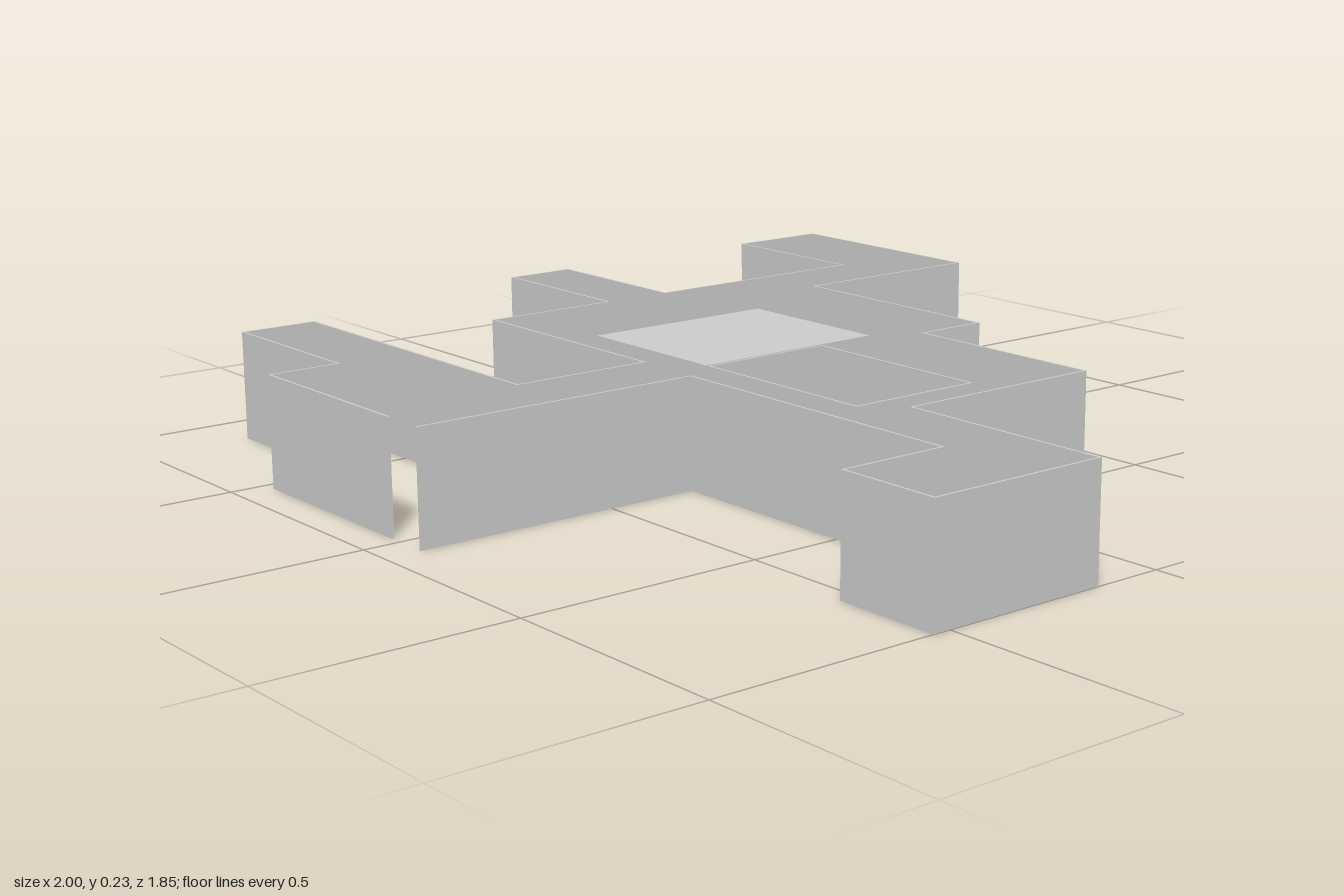
import * as THREE from 'three';

const OUTER_H = 0.23, INNER_H = 0.2, DOOR_H = 0.155, T = 0.005;
const material = new THREE.MeshStandardMaterial({ color: 0xcccccc, flatShading: true });

// Thin upright wall between two plan points [x, z]; door = [start, end] distance along the wall
function wall(name, a, b, height, door) {
  const dx = b[0] - a[0], dz = b[1] - a[1];
  const len = Math.hypot(dx, dz), e = T / 2;
  const s = new THREE.Shape();
  s.moveTo(-e, 0);
  if (door) {
    s.lineTo(door[0], 0);
    s.lineTo(door[0], DOOR_H);
    s.lineTo(door[1], DOOR_H);
    s.lineTo(door[1], 0);
  }
  s.lineTo(len + e, 0);
  s.lineTo(len + e, height);
  s.lineTo(-e, height);
  const geo = new THREE.ExtrudeGeometry(s, { depth: T, bevelEnabled: false });
  geo.translate(0, 0, -e);
  const mesh = new THREE.Mesh(geo, material);
  mesh.name = name;
  mesh.position.set(a[0], 0, a[1]);
  mesh.rotation.y = Math.atan2(-dz, dx);
  return mesh;
}

// Run of walls through plan points; doors are keyed by segment index
function wallRun(name, points, height, doors = {}) {
  const run = new THREE.Group();
  run.name = name;
  for (let i = 0; i < points.length - 1; i++) {
    run.add(wall(doors[i] ? 'doorWall' : 'wall', points[i], points[i + 1], height, doors[i]));
  }
  return run;
}

export function createModel() {
  const model = new THREE.Group();
  model.name = 'walledBuilding';

  // Outer wall, from one side of the front gap round to the other
  model.add(wallRun('outerWalls', [
    [-0.03, 0.922], [-0.465, 0.922], [-0.465, 0.77], [-0.853, 0.77], [-0.853, 0.603],
    [-0.085, 0.603], [-0.085, 0.3], [-0.62, 0.3], [-0.62, -0.003], [-0.997, -0.003],
    [-0.997, -0.16], [-0.62, -0.16], [-0.62, -0.695], [-0.997, -0.695], [-0.997, -0.925],
    [-0.463, -0.925], [-0.463, -0.47], [0.07, -0.47], [0.07, -0.31], [0.53, -0.31],
    [0.53, 0.15], [0.997, 0.15], [0.997, 0.535], [0.775, 0.535], [0.775, 0.305],
    [0.07, 0.305], [0.07, 0.922],
  ], OUTER_H, { 5: [0.185, 0.26], 9: [0.04, 0.115] }));

  // Closed central block
  const block = new THREE.Mesh(new THREE.BoxGeometry(0.375, INNER_H, 0.445), material);
  block.name = 'centralBlock';
  block.position.set(-0.2725, INNER_H / 2, -0.0775);
  model.add(block);

  // Open inner room with a door to the front
  model.add(wallRun('innerRoom', [
    [-0.077, 0.143], [0.37, 0.143], [0.37, -0.158], [-0.077, -0.158], [-0.077, 0.143],
  ], INNER_H, { 0: [0.007, 0.082] }));

  return model;
}
